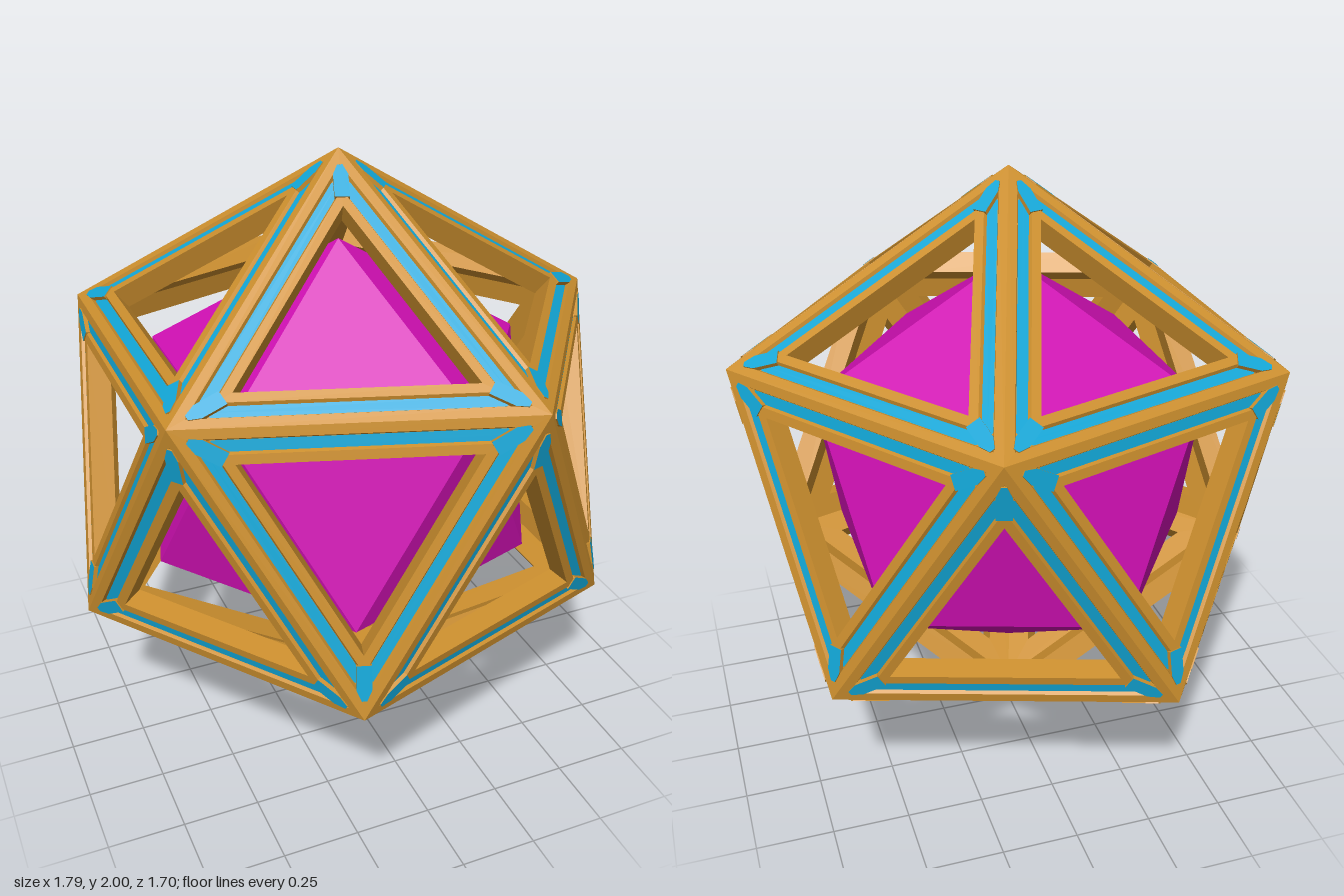
import * as THREE from 'three';

const CENTRE_Y = 1;
const INRADIUS = 0.7947; // centre to face plane, for circumradius 1
const DEPTH = 0.075;     // thickness of the frame
const FLOOR = 0.012;     // depth of the groove

// Twenty outward-facing triangles of an icosahedron standing on a vertex
function icosahedronFaces() {
  const ring = (y, turn) => Array.from({ length: 5 }, (_, i) => {
    const a = (i + turn) * Math.PI * 0.4, r = 2 / Math.sqrt(5);
    return new THREE.Vector3(r * Math.cos(a), y, r * Math.sin(a));
  });
  const h = 1 / Math.sqrt(5);
  const top = new THREE.Vector3(0, 1, 0), bottom = new THREE.Vector3(0, -1, 0);
  const up = ring(h, 0), low = ring(-h, 0.5);
  const faces = [];
  for (let i = 0; i < 5; i++) {
    const j = (i + 1) % 5;
    faces.push([top, up[j], up[i]], [up[i], up[j], low[i]],
      [low[i], up[j], low[j]], [bottom, low[i], low[j]]);
  }
  return faces;
}

// Adds a convex polygon as a fan of triangles
function addPolygon(list, points) {
  for (let i = 1; i < points.length - 1; i++) {
    for (const p of [points[0], points[i], points[i + 1]]) list.push(p.x, p.y, p.z);
  }
}

// Joins two closed loops of equal length with quads
function addBand(list, a, b) {
  a.forEach((p, k) => {
    const m = (k + 1) % a.length;
    addPolygon(list, [p, a[m], b[m], b[k]]);
  });
}

function makeMesh(name, list, color) {
  const geometry = new THREE.BufferGeometry();
  geometry.setAttribute('position', new THREE.Float32BufferAttribute(list, 3));
  geometry.computeVertexNormals();
  const mesh = new THREE.Mesh(geometry, new THREE.MeshStandardMaterial({ color, flatShading: true }));
  mesh.name = name;
  mesh.position.y = CENTRE_Y;
  return mesh;
}

export function createModel() {
  const frame = [], strips = [], chips = [], core = [];

  // Frame cross-section from the outer edge to the inside: [inset, depth]
  const backInset = 0.3034 * DEPTH / INRADIUS;
  const profile = [
    [0, 0], [0.03, 0], [0.036, FLOOR], [0.07, FLOOR], [0.076, 0],
    [0.105, 0], [0.105, DEPTH], [backInset, DEPTH],
  ];
  // Corner chip outline: [distance from vertex, sideways offset]
  const chipOutline = [
    [0.065, -0.008], [0.1, -0.023], [0.18, -0.023],
    [0.18, 0.023], [0.1, 0.023], [0.065, 0.008],
  ];

  for (const face of icosahedronFaces()) {
    const centre = new THREE.Vector3();
    face.forEach(v => centre.addScaledVector(v, 1 / 3));
    const normal = centre.clone().normalize();
    const point = (origin, u, v, a, b, d) => origin.clone()
      .addScaledVector(u, a).addScaledVector(v, b).addScaledVector(normal, -d);

    // Grooved triangular frame with an open window
    const loops = profile.map(([t, d]) => face.map(v =>
      centre.clone().lerp(v, 1 - t / 0.3034).addScaledVector(normal, -d)));
    for (let i = 0; i < loops.length - 1; i++) addBand(frame, loops[i], loops[i + 1]);

    face.forEach((v, k) => {
      // Inlaid strip with pointed ends along each edge
      const next = face[(k + 1) % 3];
      const along = next.clone().sub(v), L = along.length();
      along.normalize();
      const inward = normal.clone().cross(along);
      addPolygon(strips, [
        [0.1, 0.053], [0.12, 0.036], [L - 0.12, 0.036],
        [L - 0.1, 0.053], [L - 0.125, 0.07], [0.125, 0.07],
      ].map(([s, t]) => point(v, along, inward, s, t, FLOOR - 0.002)));

      // Tapered chip at each corner, with sides in the frame colour
      const bisector = centre.clone().sub(v).normalize();
      const side = normal.clone().cross(bisector);
      const outline = d => chipOutline.map(([r, w]) => point(v, bisector, side, r, w, d));
      addPolygon(chips, outline(-0.004));
      addBand(frame, outline(FLOOR), outline(-0.004));
    });

    // Solid core
    addPolygon(core, face.map(v => v.clone().multiplyScalar(0.715)));
  }

  const model = new THREE.Group();
  model.name = 'framedIcosahedron';
  model.add(
    makeMesh('frame', frame, 0xcc8f2e),
    makeMesh('inlayStrips', strips, 0x12a6d6),
    makeMesh('cornerChips', chips, 0x12a6d6),
    makeMesh('core', core, 0xd110b4),
  );
  return model;
}
